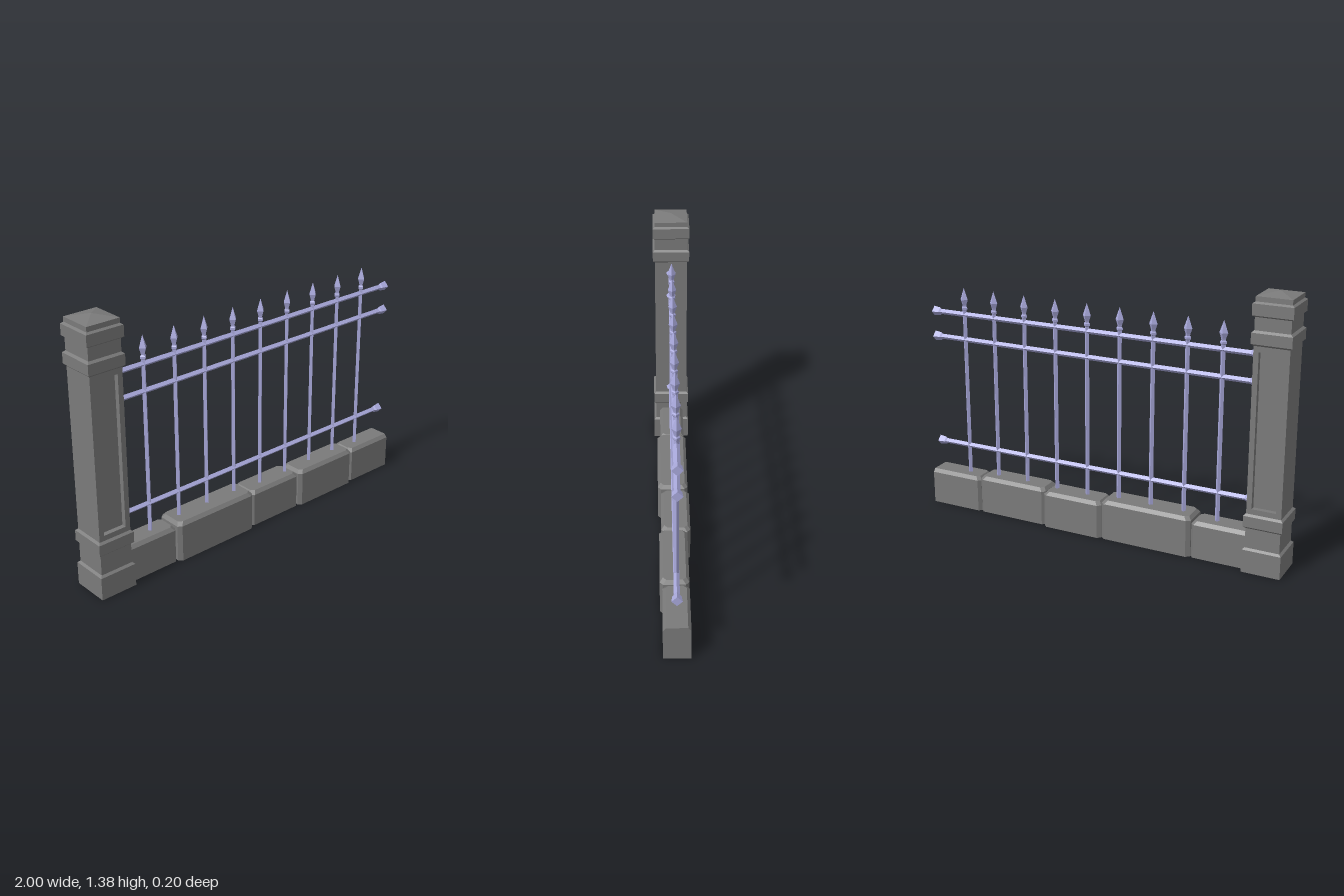
import * as THREE from 'three';
import { ConvexGeometry } from 'three/addons/geometries/ConvexGeometry.js';

const stone = new THREE.MeshStandardMaterial({ color: 0x7a7a7a, flatShading: true });
const metal = new THREE.MeshStandardMaterial({ color: 0xaaaadd, flatShading: true });

function add(parent, name, geometry, material, x = 0, y = 0, z = 0) {
  const mesh = new THREE.Mesh(geometry, material);
  mesh.name = name;
  mesh.position.set(x, y, z);
  parent.add(mesh);
  return mesh;
}

// Four-sided solid from [half size, height] pairs; turned = sides square to the axes
function fourSided(profile, turned) {
  const k = turned ? Math.SQRT2 : 1;
  const points = profile.map(([r, y]) => new THREE.Vector2(r * k, y));
  return new THREE.LatheGeometry(points, 4, turned ? Math.PI / 4 : 0);
}

// Block with chamfered top and upright edges; c0 and c1 are the end chamfers
function blockGeometry(x0, x1, h, zBack, zFront, c0, c1) {
  const c = 0.016, points = [];
  const ring = (y, inset) => {
    const a = x0 + (c0 ? inset : 0), b = x1 - (c1 ? inset : 0);
    const back = zBack + inset, front = zFront - inset;
    for (const [x, dx, cut] of [[a, c0, c0], [b, -c1, c1]]) {
      const dz = cut ? c : 0;
      points.push(new THREE.Vector3(x, y, back + dz), new THREE.Vector3(x, y, front - dz));
      if (cut) points.push(new THREE.Vector3(x + dx, y, back), new THREE.Vector3(x + dx, y, front));
    }
  };
  ring(0, 0);
  ring(h - 0.018, 0);
  ring(h, 0.015);
  return new ConvexGeometry(points);
}

function createPillar() {
  const pillar = new THREE.Group();
  pillar.name = 'pillar';
  pillar.position.x = -0.902;
  const s = 0.087, w = 0.098;

  // Foot and lower band
  add(pillar, 'pillarBase', fourSided([
    [0, 0], [w, 0], [w, 0.118], [s, 0.128], [s, 0.23], [w, 0.24], [w, 0.295], [s, 0.305], [0, 0.305],
  ], true), stone);

  // Shaft: core with a framed recess on front and back
  const y0 = 0.3, y1 = 1.14, depth = 0.025;
  add(pillar, 'shaftCore', new THREE.BoxGeometry(2 * s, y1 - y0, 2 * (s - depth)), stone, 0, (y0 + y1) / 2);
  const frame = new THREE.Shape([[-s, y0], [s, y0], [s, y1], [-s, y1]].map(p => new THREE.Vector2(...p)));
  frame.holes.push(new THREE.Path(
    [[-0.061, 0.332], [-0.061, 1.105], [0.061, 1.105], [0.061, 0.332]].map(p => new THREE.Vector2(...p))));
  const frameGeometry = new THREE.ExtrudeGeometry(frame, { depth, bevelEnabled: false });
  add(pillar, 'frontPanelFrame', frameGeometry, stone, 0, 0, s - depth);
  add(pillar, 'backPanelFrame', frameGeometry, stone, 0, 0, -s);

  // Upper band, neck and pyramid cap
  add(pillar, 'pillarCap', fourSided([
    [0, 1.132], [s, 1.132], [w, 1.142], [w, 1.195], [s, 1.205], [s, 1.267], [w, 1.275],
    [w, 1.33], [s, 1.338], [s, 1.362], [0, 1.38],
  ], true), stone);
  return pillar;
}

// Pointed upright with collar and spearhead
function picketGeometry() {
  return fourSided([
    [0, 0.17], [0.012, 0.17], [0.012, 1.093], [0.017, 1.098], [0.017, 1.108],
    [0.011, 1.114], [0.013, 1.124], [0.022, 1.15], [0, 1.212],
  ], false);
}

// Rail with flared ends, modelled upright
function railGeometry() {
  return fourSided([
    [0, -0.818], [0.026, -0.818], [0.021, -0.787], [0.014, -0.778],
    [0.014, 0.945], [0.021, 0.954], [0.026, 0.99], [0, 0.99],
  ], false);
}

export function createModel() {
  const model = new THREE.Group();
  model.name = 'fenceSection';
  model.add(createPillar());

  // Low wall of uneven blocks: x0, x1, height, back z, front z, end chamfers
  const wall = new THREE.Group();
  wall.name = 'baseWall';
  model.add(wall);
  [
    [-0.83, -0.522, 0.195, -0.066, 0.065, 0, 0.015],
    [-0.522, -0.03, 0.212, -0.075, 0.082, 0.02, 0.02],
    [-0.03, 0.304, 0.197, -0.081, 0.066, 0.018, 0.018],
    [0.304, 0.702, 0.203, -0.065, 0.077, 0.018, 0.018],
    [0.702, 1, 0.192, -0.066, 0.065, 0.015, 0],
  ].forEach((b, i) => add(wall, 'wallBlock' + (i + 1), blockGeometry(...b), stone));

  // Railing
  const railing = new THREE.Group();
  railing.name = 'railing';
  model.add(railing);
  const rail = railGeometry(), picket = picketGeometry();
  [0.345, 0.935, 1.07].forEach((y, i) => {
    add(railing, 'rail' + (i + 1), rail, metal, 0, y).rotation.z = -Math.PI / 2;
  });
  for (let i = 0; i < 9; i++) add(railing, 'picket' + (i + 1), picket, metal, -0.637 + i * 0.1797);

  return model;
}
